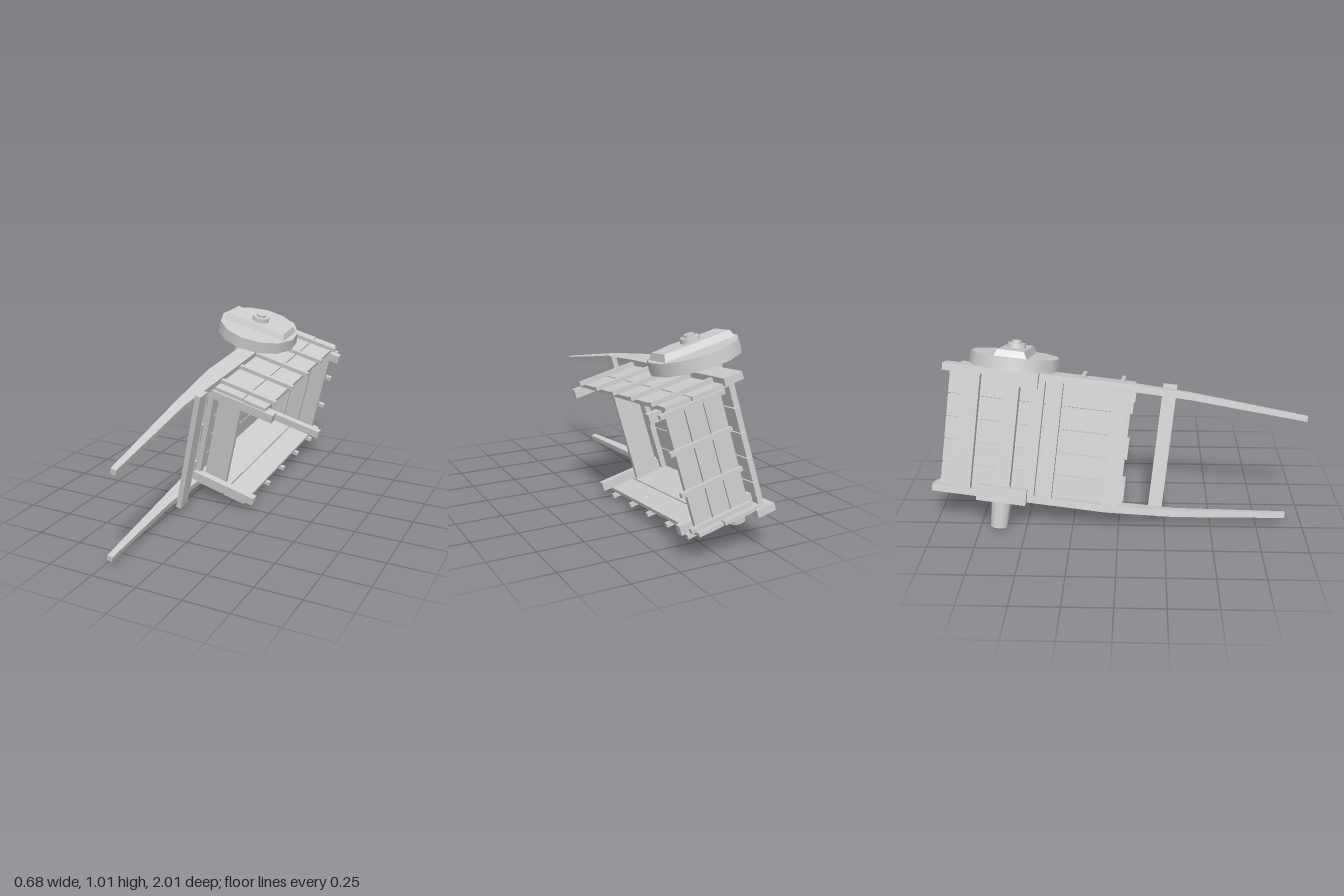
import * as THREE from 'three';

const mat = new THREE.MeshStandardMaterial({ color: 0xcccccc, flatShading: true });
const smooth = new THREE.MeshStandardMaterial({ color: 0xcccccc });
const MID = 0.38; // cart's centre plane across the axle
const AXLE_X = -0.28;
const AXLE_Z = -0.642;

// Cart space: x = out of the open bed, y = along the axle, z = towards the handles
export function createModel() {
  const model = new THREE.Group();
  model.name = 'overturnedCart';
  const cart = new THREE.Group();
  cart.name = 'cart';
  model.add(cart);

  function add(name, geometry, material = mat) {
    const mesh = new THREE.Mesh(geometry, material);
    mesh.name = name;
    cart.add(mesh);
    return mesh;
  }
  // Box given by its limits on each axis
  function box(name, x0, x1, y0, y1, z0, z1) {
    const mesh = add(name, new THREE.BoxGeometry(x1 - x0, y1 - y0, z1 - z0));
    mesh.position.set((x0 + x1) / 2, (y0 + y1) / 2, (z0 + z1) / 2);
  }
  // The same box on both sides of the centre plane
  function pair(name, x0, x1, y0, y1, z0, z1) {
    box(name, x0, x1, y0, y1, z0, z1);
    box(name, x0, x1, 2 * MID - y1, 2 * MID - y0, z0, z1);
  }
  // Round part on the axle line
  function cylinder(name, r0, r1, y0, y1, sides) {
    const mesh = add(name, new THREE.CylinderGeometry(r1, r0, y1 - y0, sides), smooth);
    mesh.position.set(AXLE_X, (y0 + y1) / 2, AXLE_Z);
  }

  // Long rails that taper into handles: z, x, y offset, height, thickness
  function rail(side, endX, endZ) {
    const sections = [
      [-1.02, -0.25, 0.33, 0.1, 0.038],
      [-0.08, -0.25, 0.335, 0.1, 0.038],
      [0.3, -0.243, 0.322, 0.055, 0.036],
      [endZ, endX, 0.272, 0.03, 0.03],
    ];
    const g = new THREE.BoxGeometry(1, 1, 3, 1, 1, 3);
    const p = g.attributes.position;
    for (let i = 0; i < p.count; i++) {
      const [z, x, y, h, t] = sections[Math.round(p.getZ(i) + 1.5)];
      p.setXYZ(i, x + p.getX(i) * h, MID + side * y + p.getY(i) * t, z);
    }
    g.computeVertexNormals();
    add('handleRail', g);
  }
  rail(1, -0.21, 0.935);
  rail(-1, -0.195, 0.895);
  box('handleCrossbar', -0.205, -0.175, 0.015, 0.745, 0.15, 0.225);

  // Floor planks and the sill in front of them
  for (let i = 0; i < 5; i++) {
    const y = 0.07 + i * 0.125;
    box('floorPlank', -0.262, -0.235, y, y + 0.119, -0.985, 0.005 - (i % 2) * 0.012);
  }
  box('frontSill', -0.235, -0.205, 0.08, 0.68, -0.053, -0.01);
  // Bearers under the floor
  for (const [z, w] of [[-0.86, 0.09], [-0.5, 0.06], [-0.41, 0.07], [-0.06, 0.09]])
    box('floorBearer', -0.31, -0.262, 0.065, 0.695, z - w / 2, z + w / 2);

  // Side walls, their outer battens and inner corner posts
  pair('sidePlank', -0.235, -0.034, 0.68, 0.7, -1, 0);
  pair('sidePlank', -0.028, 0.105, 0.68, 0.7, -0.995, 0.005);
  for (const z of [-0.068, -0.288, -0.49, -0.698, -0.908])
    pair('sideBatten', -0.2, 0.13, 0.7, 0.722, z - 0.011, z + 0.011);
  pair('frontPost', -0.235, 0.155, 0.633, 0.68, -0.028, 0.012);
  pair('backPost', -0.235, 0.167, 0.633, 0.68, -0.94, -0.9);

  // Front board
  box('frontBoard', -0.18, -0.045, 0.08, 0.68, -0.053, -0.028);

  // Back wall and its battens
  for (const x of [-0.195, -0.095, 0.006])
    box('backPlank', x, x + 0.095, 0.08, 0.68, -0.965, -0.942);
  for (const y of [0.1, 0.28, 0.48, 0.66])
    box('backBatten', -0.2, 0.135, y - 0.011, y + 0.011, -0.988, -0.965);

  // Axle beam, brackets and the bare stub on the lower side
  box('axleBeam', -0.325, -0.255, 0.03, 0.73, AXLE_Z - 0.04, AXLE_Z + 0.04);
  pair('axleBracket', -0.348, -0.3, 0.655, 0.738, -0.77, -0.505);
  cylinder('axleStub', 0.047, 0.054, -0.127, 0.04, 10);
  cylinder('axleStubCore', 0.024, 0.024, -0.132, -0.12, 10);

  // Remaining wheel with its bevelled brace and hub
  cylinder('wheelAxle', 0.05, 0.05, 0.71, 0.76, 10);
  cylinder('wheel', 0.236, 0.232, 0.752, 0.818, 13);
  const brace = new THREE.BoxGeometry(0.4, 0.034, 0.17);
  const p = brace.attributes.position;
  for (let i = 0; i < p.count; i++)
    if (p.getY(i) > 0) p.setXYZ(i, p.getX(i) * 0.93, p.getY(i), p.getZ(i) * 0.8);
  brace.computeVertexNormals();
  add('wheelBrace', brace).position.set(AXLE_X, 0.835, AXLE_Z);
  cylinder('hub', 0.052, 0.048, 0.845, 0.876, 12);
  cylinder('hubPin', 0.028, 0.026, 0.87, 0.89, 12);

  // Tip the whole cart onto its side
  const y = new THREE.Vector3(0.24, 0.96, 0.11).normalize();
  const x = y.clone().cross(new THREE.Vector3(-0.03, -0.1, 0.99)).normalize();
  const z = x.clone().cross(y);
  cart.quaternion.setFromRotationMatrix(new THREE.Matrix4().makeBasis(x, y, z));

  // Rest on the ground, centred
  const b = new THREE.Box3().setFromObject(model, true);
  const c = b.getCenter(new THREE.Vector3());
  cart.position.set(-c.x, -b.min.y, -c.z);
  return model;
}
